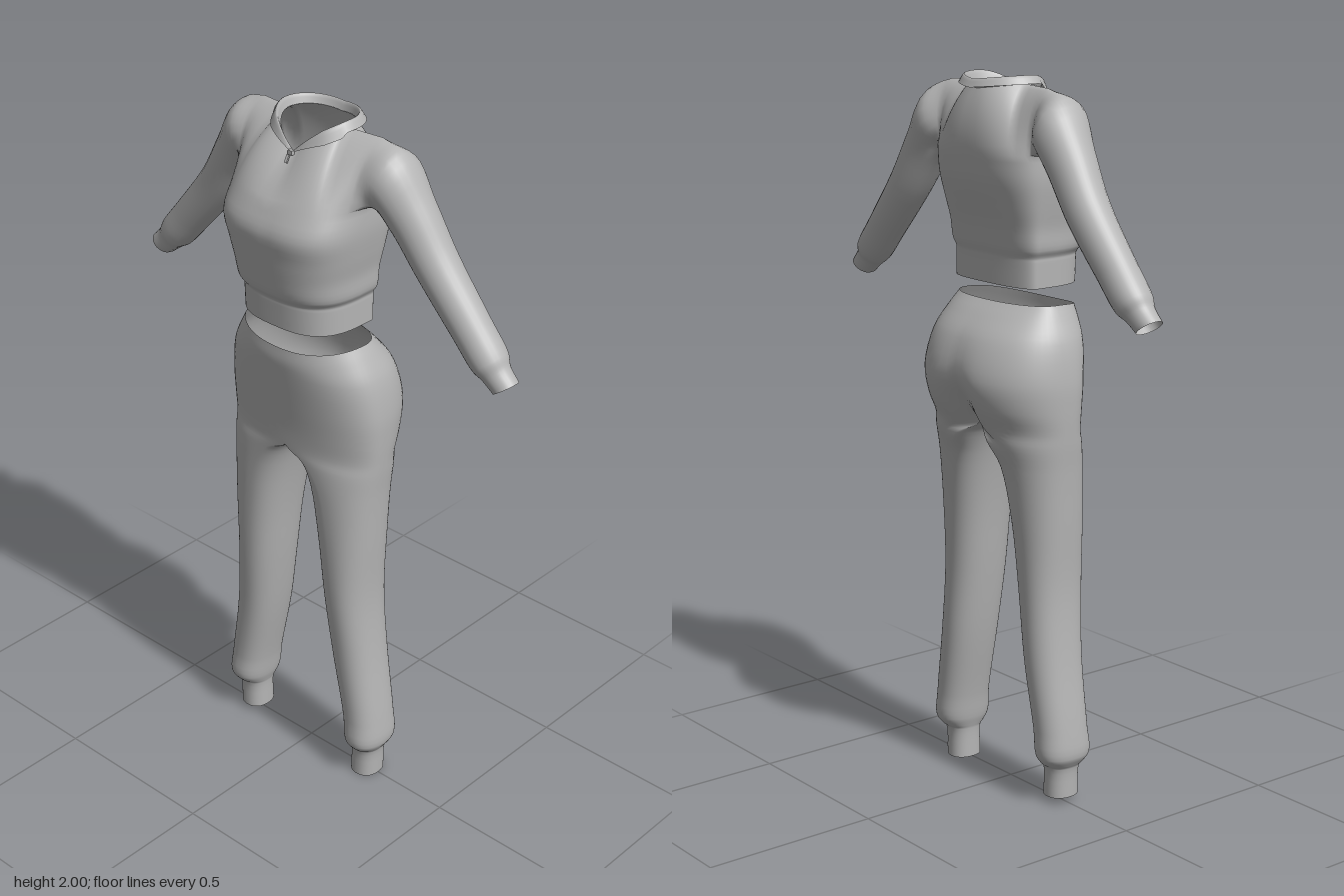
import * as THREE from 'three';
import { mergeGeometries, mergeVertices } from 'three/addons/utils/BufferGeometryUtils.js';

const V = (x, y, z) => new THREE.Vector3(x, y, z);
const pow = (v, e) => Math.sign(v) * Math.abs(v) ** e;
const HALF = 32;            // columns from front centre round the side to back centre
const ARM0 = 12, ARM1 = 20; // columns bounding the armhole
const PANEL = 10;           // rows from chest to shoulder

// Smooth every column of a list of rings, with `sub` rows per span
function smooth(rings, sub) {
  const curves = rings[0].map((_, i) => new THREE.CatmullRomCurve3(rings.map(r => r[i]), false, 'centripetal'));
  const n = (rings.length - 1) * sub;
  return Array.from({ length: n + 1 }, (_, j) => curves.map(c => c.getPoint(j / n)));
}

// Surface through rows of points
function skin(rows, wrap = false) {
  const w = rows[0].length, pos = [], idx = [];
  rows.forEach(r => r.forEach(p => pos.push(Math.max(0, p.x), p.y, p.z)));
  for (let j = 0; j < rows.length - 1; j++) {
    for (let i = 0; i < (wrap ? w : w - 1); i++) {
      const k = (i + 1) % w, a = j * w + i, b = j * w + k;
      idx.push(a, b, b + w, a, b + w, a + w);
    }
  }
  const g = new THREE.BufferGeometry();
  g.setAttribute('position', new THREE.Float32BufferAttribute(pos, 3));
  g.setIndex(idx);
  return g;
}

// Join the pieces of the left half with their mirror image
function mirrored(pieces, adjust) {
  const all = pieces.flatMap(g => {
    const m = g.clone().scale(-1, 1, 1), ix = m.index.array;
    for (let i = 0; i < ix.length; i += 3) [ix[i], ix[i + 1]] = [ix[i + 1], ix[i]];
    return [g, m];
  });
  const geo = mergeVertices(mergeGeometries(all), 1e-4);
  if (adjust) adjust(geo.attributes.position);
  geo.computeVertexNormals();
  return geo;
}

// Neck edge: V at the front, shallow dip at the back; a runs from front to back
function neckPoint(a) {
  const s = Math.sin(a), c = Math.cos(a);
  return V(0.1 * s, 1.975 - (c > 0 ? 0.068 : 0.012) * (1 - s), -0.025 + 0.09 * c);
}

function sweatshirtGeometry() {
  // y, half width, front z, back z, front squareness
  const body = [
    [1.443, 0.172, 0.15, -0.085, 0.6], [1.512, 0.172, 0.154, -0.085, 0.6],
    [1.524, 0.172, 0.155, -0.086, 0.6], [1.545, 0.183, 0.168, -0.093, 0.58],
    [1.6, 0.186, 0.18, -0.104, 0.54], [1.66, 0.196, 0.19, -0.122, 0.5],
    [1.73, 0.205, 0.2, -0.142, 0.47], [1.8, 0.205, 0.17, -0.15, 0.6],
  ].map(([y, w, zf, zb, e]) => Array.from({ length: HALF + 1 }, (_, i) => {
    const t = i * Math.PI / HALF, c = Math.cos(t);
    const z = c > 0 ? (zf + 0.04) * pow(c, e) : (zb + 0.04) * pow(-c, 0.75);
    return V(w * pow(Math.sin(t), 0.72), y, -0.04 + z);
  }));
  const lower = smooth(body, 4), chest = lower[lower.length - 1];

  // Front and back panels rise from the chest to the neck and shoulder line
  const tip = V(0.205, 1.972, -0.04);
  const panel = back => {
    const cols = [];
    for (let k = 0; k <= ARM0; k++) {
      const i = back ? HALF - k : k, p0 = chest[i];
      const a = Math.min(k, 8) / 8 * Math.PI / 2;
      const p1 = neckPoint(back ? Math.PI - a : a);
      if (k > 8) p1.lerp(tip, (k - 8) / 4);
      const edge = k / ARM0, c = p0.clone().lerp(p1, 0.45);
      c.y = THREE.MathUtils.lerp(p0.y, p1.y, 0.5 + 0.35 * edge);
      c.z += back ? -0.02 : 0.022 * edge;
      cols.push(new THREE.QuadraticBezierCurve3(p0, c, p1));
    }
    if (back) cols.reverse();
    return Array.from({ length: PANEL + 1 }, (_, j) => cols.map(q => q.getPoint(j / PANEL)));
  };
  const front = panel(false), rear = panel(true);

  // Armhole loop: shoulder tip, down the front, under the arm, up the back
  const loop = [];
  for (let j = PANEL; j > 0; j--) loop.push(front[j][ARM0]);
  for (let i = ARM0; i <= ARM1; i++) loop.push(chest[i]);
  for (let j = 1; j < PANEL; j++) loop.push(rear[j][0]);
  const angles = loop.map(p => Math.atan2((p.y - 1.886) / 0.087, (p.z + 0.03) / 0.09));

  // Sleeve rings: centre x, y, z, half thickness, half depth, tilt of the ring
  const sleeve = [
    [0.246, 1.868, -0.035, 0.086, 0.084, 0.36], [0.306, 1.788, -0.045, 0.067, 0.07, 0.8],
    [0.383, 1.673, -0.053, 0.06, 0.062, 0.86], [0.5, 1.535, -0.055, 0.054, 0.056, 0.85],
    [0.565, 1.461, -0.055, 0.05, 0.053, 0.87], [0.586, 1.438, -0.053, 0.041, 0.041, 0.92],
    [0.62, 1.408, -0.052, 0.037, 0.036, 0.95],
  ].map(([x, y, z, h, d, tilt]) => angles.map(a =>
    V(x + Math.sin(tilt) * h * Math.sin(a), y + Math.cos(tilt) * h * Math.sin(a), z + d * Math.cos(a))));

  return mirrored([skin(lower), skin(front), skin(rear), skin(smooth([loop, ...sleeve], 5), true)]);
}

// Fold-over collar following the neck edge
function collarGeometry() {
  const ring = (out, rise) => Array.from({ length: 25 }, (_, i) => {
    const a = i / 24 * Math.PI, p = neckPoint(a), s = Math.sin(a);
    const grow = Math.min(1, i / 6);
    return V(p.x + out * s * grow, p.y + rise(grow, a), p.z + out * Math.cos(a) * (0.3 + 0.5 * grow));
  });
  return mirrored([skin(smooth([
    ring(0.03, (g, a) => a < 1.2 ? -0.008 * g : 0.003),
    ring(0.012, g => 0.004 + 0.021 * g),
    ring(0, () => 0),
  ], 4))]);
}

function pantsGeometry() {
  // y, x of front and back ridge, inner x, outer x, front z, back z, back cleft
  const table = [
    [0.0, 0.222, 0.18, 0.265, 0.048, -0.048, 0], [0.088, 0.225, 0.18, 0.269, 0.05, -0.05, 0],
    [0.1, 0.228, 0.177, 0.276, 0.062, -0.062, 0], [0.125, 0.23, 0.17, 0.289, 0.079, -0.079, 0],
    [0.2, 0.222, 0.16, 0.284, 0.076, -0.08, 0], [0.4, 0.187, 0.122, 0.256, 0.081, -0.085, 0],
    [0.6, 0.167, 0.094, 0.24, 0.094, -0.085, 0], [0.8, 0.15, 0.071, 0.246, 0.1, -0.095, 0],
    [0.95, 0.122, 0.045, 0.252, 0.102, -0.114, 0], [1.02, 0.075, 0.024, 0.257, 0.104, -0.138, 0.01],
    [1.06, 0, 0, 0.259, 0.107, -0.158, 0.05], [1.12, 0, 0, 0.261, 0.112, -0.19, 0.04],
    [1.2, 0, 0, 0.26, 0.123, -0.207, 0.014], [1.3, 0, 0, 0.243, 0.138, -0.175, 0.003],
    [1.36, 0, 0, 0.215, 0.143, -0.125, 0], [1.397, 0, 0, 0.194, 0.141, -0.085, 0],
  ];
  const rings = table.map(([y, fx, inn, out, zf, zb, cleft]) => Array.from({ length: 2 * HALF }, (_, i) => {
    const t = i * Math.PI / HALF, s = pow(Math.sin(t), 0.88), c = pow(Math.cos(t), 0.88);
    const x = fx + s * (s > 0 ? out - fx : fx - inn);
    const z = c > 0 ? zf * c : -zb * c + cleft * -c * Math.exp(-((x / 0.05) ** 2));
    return V(x, y - (y > 1.33 ? 0.02 * Math.max(0, c) ** 2 : 0), z);
  }));
  const rows = smooth(rings, 4), split = 10 * 4;
  const leg = skin(rows.slice(0, split + 1), true);
  const hips = skin(rows.slice(split).map(r => r.slice(0, HALF + 1)));
  // The right leg hangs slightly higher
  return mirrored([leg, hips], p => {
    for (let i = 0; i < p.count; i++) {
      const y = p.getY(i);
      if (p.getX(i) < 0 && y < 0.8) p.setY(i, y + 0.02 * (0.8 - y) / 0.8);
    }
  });
}

export function createModel() {
  const group = new THREE.Group();
  const cloth = new THREE.MeshStandardMaterial({ color: 0xb4b4b4, side: THREE.DoubleSide });
  cloth.name = 'grey cloth';
  const add = (name, geo) => {
    const mesh = new THREE.Mesh(geo, cloth);
    mesh.name = name;
    group.add(mesh);
    return mesh;
  };
  add('sweatshirt', sweatshirtGeometry());
  add('collar', collarGeometry());
  add('pants', pantsGeometry());
  // Zip pull at the point of the neck
  add('zipSlider', new THREE.BoxGeometry(0.014, 0.012, 0.01)).position.set(0, 1.909, 0.077);
  const pull = add('zipPull', new THREE.BoxGeometry(0.008, 0.022, 0.005));
  pull.position.set(0, 1.896, 0.092);
  pull.rotation.x = -0.5;
  return group;
}
